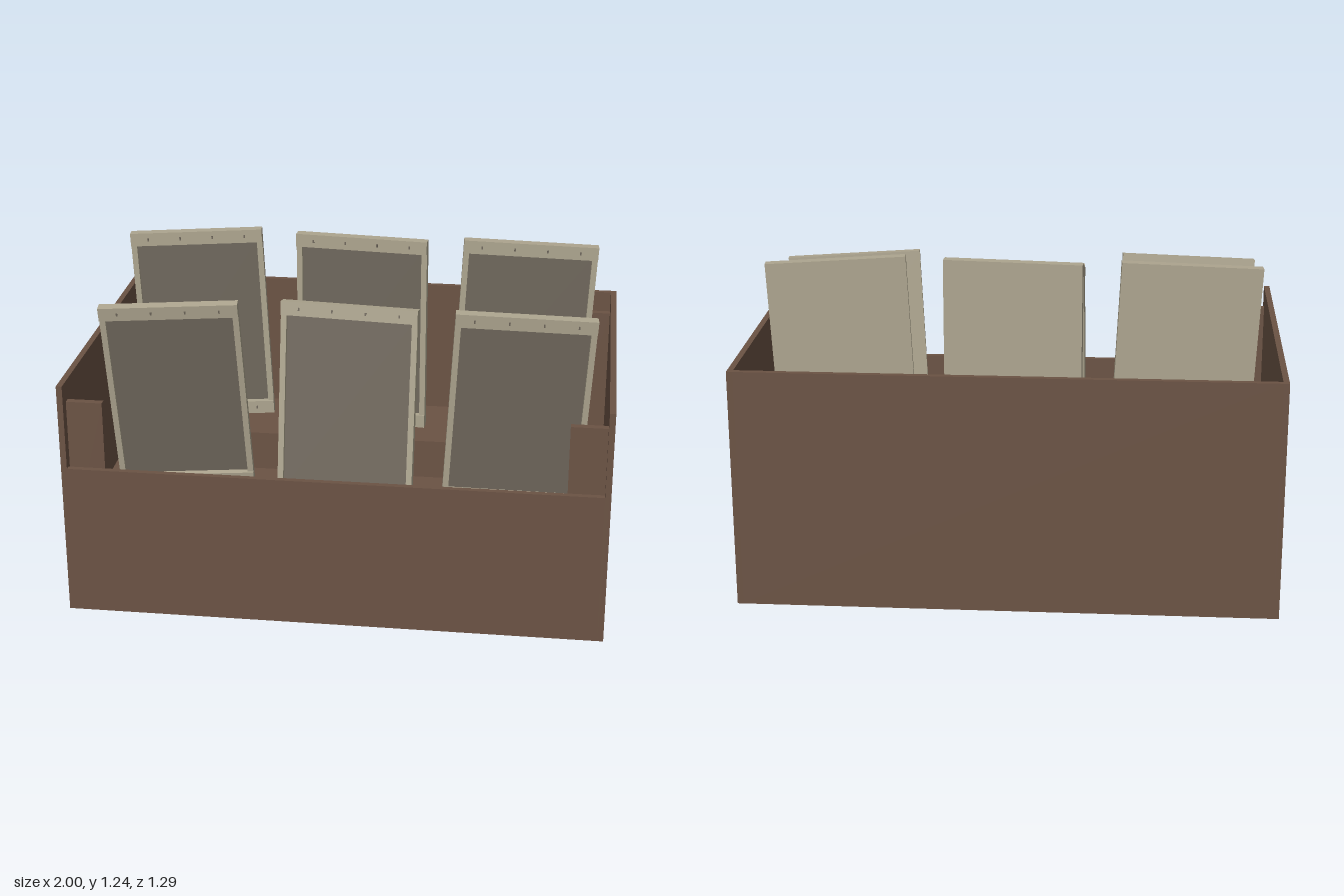
import * as THREE from 'three';

const brown = new THREE.MeshStandardMaterial({ color: 0x6b5344 });
const cream = new THREE.MeshStandardMaterial({ color: 0xada58f });
const dim = new THREE.MeshStandardMaterial({ color: 0x6f675c });

// Box given by its lower and upper limits on each axis
function block(name, [x0, x1], [y0, y1], [z0, z1], material) {
  const mesh = new THREE.Mesh(new THREE.BoxGeometry(x1 - x0, y1 - y0, z1 - z0), material);
  mesh.position.set((x0 + x1) / 2, (y0 + y1) / 2, (z0 + z1) / 2);
  mesh.name = name;
  return mesh;
}

// Shallow framed tray standing on its lower edge, open to +z
function createPanel(name) {
  const W = 0.26, H = 0.78, BAR = 0.052, RAIL = 0.022;
  const panel = new THREE.Group();
  panel.name = name;
  panel.add(block('backBoard', [-W, W], [0, H], [-0.02, -0.01], cream));
  panel.add(block('screen', [-W + RAIL, W - RAIL], [BAR, H - BAR], [-0.01, -0.004], dim));
  for (const s of [-1, 1]) {
    const xs = [s * W, s * (W - RAIL)].sort((a, b) => a - b);
    panel.add(block('sideRail', xs, [BAR, H - BAR], [-0.01, 0.012], cream));
  }
  for (const y of [0, H - BAR]) {
    panel.add(block('crossBar', [-W, W], [y, y + BAR], [-0.01, 0.02], cream));
    // small pins along each bar
    for (let i = 0; i < 4; i++) {
      const x = -0.19 + i * 0.127;
      panel.add(block('pin', [x - 0.003, x + 0.003], [y + 0.02, y + 0.032], [0.02, 0.022], dim));
    }
  }
  return panel;
}

export function createModel() {
  const model = new THREE.Group();
  model.name = 'displayBox';
  const X = 1, Z = 0.645, T = 0.022, TOP = 0.905, FLOOR = 0.29;

  // Crate: solid base, tall back and sides, low front
  const crate = new THREE.Group();
  crate.name = 'crate';
  crate.add(block('base', [-X + T, X - T], [0, FLOOR], [-Z + T, Z - T], brown));
  crate.add(block('backWall', [-X + T, X - T], [0, TOP], [-Z, -Z + T], brown));
  crate.add(block('frontWall', [-X + T, X - T], [0, 0.58], [Z - T, Z], brown));
  crate.add(block('rightWall', [-X, -X + T], [0, TOP], [-Z, Z], brown));
  crate.add(block('leftWall', [X - T, X], [0, TOP], [-Z, Z], brown));

  // Thin tabs in the four corners
  for (const sx of [-1, 1]) for (const sz of [-1, 1]) {
    const xs = [sx * 0.845, sx * (X - T)].sort((a, b) => a - b);
    const zs = [sz * 0.578, sz * 0.605].sort((a, b) => a - b);
    crate.add(block('cornerTab', xs, [FLOOR, 0.83], zs, brown));
  }

  // Two long plinths, the back one higher
  crate.add(block('backPlinth', [-0.845, 0.845], [FLOOR, 0.445], [-0.43, -0.07], brown));
  crate.add(block('frontPlinth', [-0.845, 0.845], [FLOOR, 0.335], [0.07, 0.43], brown));
  model.add(crate);

  // Panels: name, foot position, then tilt, yaw and roll
  const panels = [
    ['backRightPanel', [-0.62, 0.445, -0.25], [0, 0.08, 0.05]],
    ['backMiddlePanel', [0, 0.445, -0.245], [0, -0.09, 0]],
    ['backLeftPanel', [0.62, 0.445, -0.25], [0, 0.09, -0.05]],
    ['frontRightPanel', [-0.625, 0.34, 0.205], [0.13, 0.08, 0.05]],
    ['frontMiddlePanel', [0, 0.33, 0.31], [-0.14, -0.09, 0]],
    ['frontLeftPanel', [0.625, 0.335, 0.215], [0.07, 0.09, -0.05]],
  ];
  for (const [name, foot, [tilt, yaw, roll]] of panels) {
    const panel = createPanel(name);
    panel.position.set(...foot);
    panel.rotation.set(tilt, yaw, roll, 'YXZ');
    model.add(panel);
  }
  return model;
}
